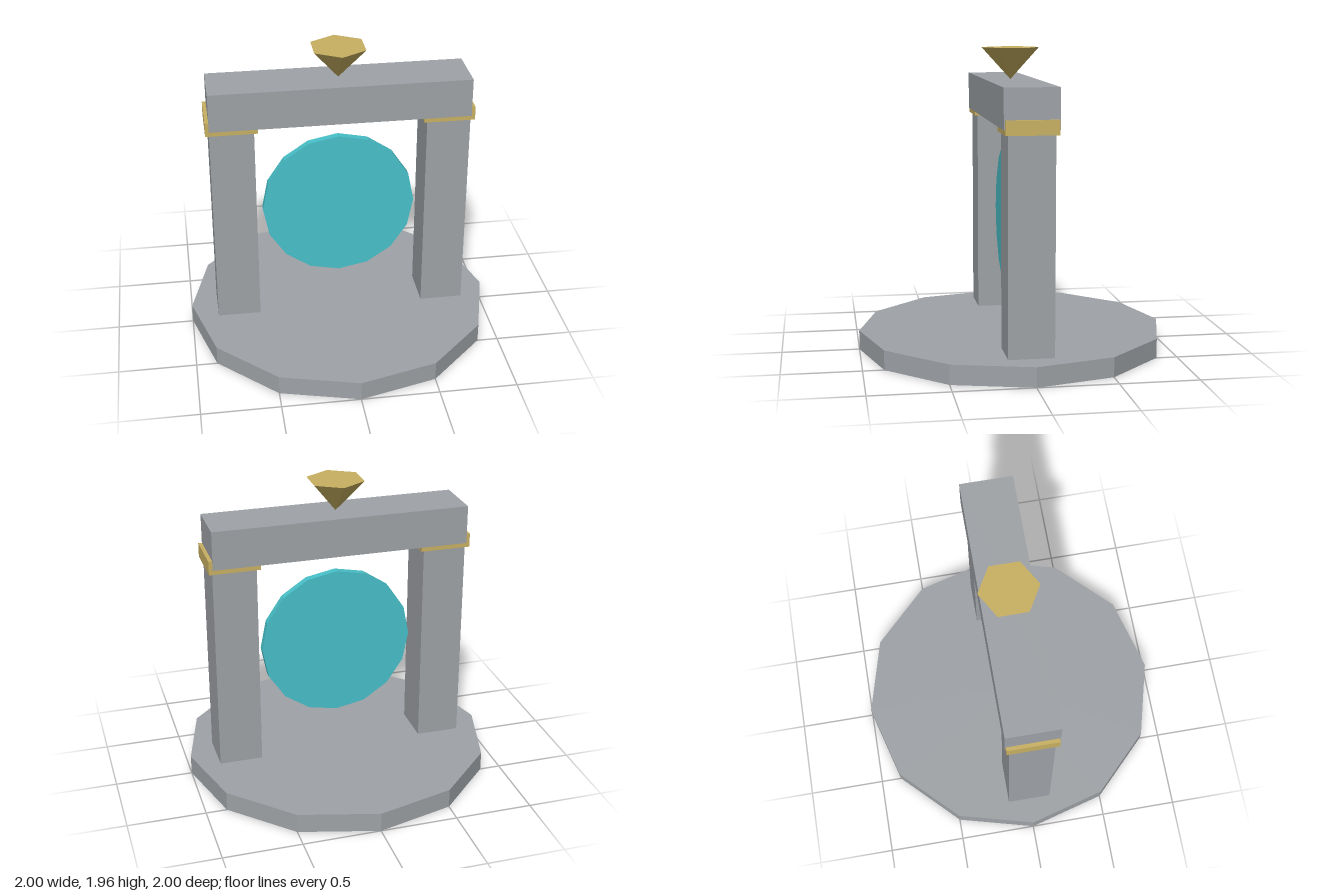
import * as THREE from 'three';

const flat = (name, color) => {
  const m = new THREE.MeshStandardMaterial({ color, flatShading: true });
  m.name = name;
  return m;
};

export function createModel() {
  const stone = flat('stone', 0x9ea2a6);
  const gold = flat('gold', 0xc8b062);
  const cyan = flat('cyan', 0x48c0c9);

  const group = new THREE.Group();
  group.name = 'portalGate';

  const add = (name, geometry, material, x, y, z = 0) => {
    const mesh = new THREE.Mesh(geometry, material);
    mesh.name = name;
    mesh.position.set(x, y, z);
    group.add(mesh);
    return mesh;
  };

  // Twelve-sided plinth
  add('base', new THREE.CylinderGeometry(1, 1, 0.125, 12), stone, 0, 0.0625);

  // Pillars with gold collars that wrap the ends of the lintel
  for (const [side, s] of [['left', 1], ['right', -1]]) {
    add(side + 'Pillar', new THREE.BoxGeometry(0.28, 1.385, 0.286), stone, s * 0.688, 0.8175);
    add(side + 'Collar', new THREE.BoxGeometry(0.326, 0.09, 0.326), gold, s * 0.689, 1.52);
  }

  // Lintel across the top
  add('lintel', new THREE.BoxGeometry(1.656, 0.25, 0.338), stone, 0, 1.63);

  // Sixteen-sided portal disc
  const disc = add('portalDisc', new THREE.CylinderGeometry(0.5, 0.5, 0.05, 16), cyan, 0, 0.848);
  disc.rotation.x = Math.PI / 2;

  // Six-sided gem standing on its point
  const gem = new THREE.ConeGeometry(0.187, 0.205, 6).rotateX(Math.PI);
  add('gem', gem, gold, 0, 1.8575);

  return group;
}
